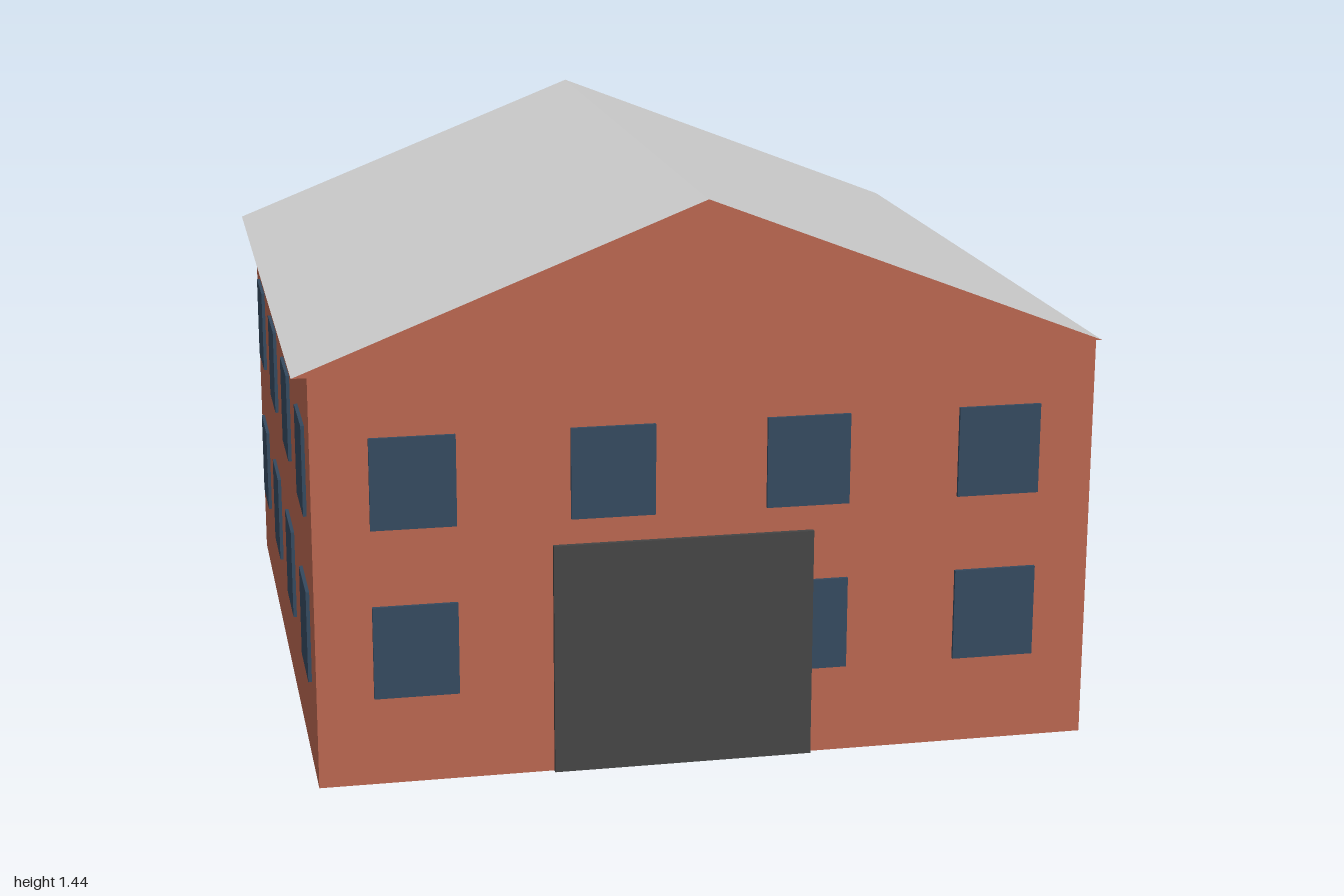
import * as THREE from 'three';

const mat = (name, color) => {
  const m = new THREE.MeshStandardMaterial({ color });
  m.name = name;
  return m;
};

export function createModel() {
  const brick = mat('brick', 0xb8654f);
  const roofGrey = mat('roof grey', 0xcccccc);
  const glass = mat('window blue', 0x34495e);
  const doorGrey = mat('door grey', 0x444444);

  const house = new THREE.Group();
  house.name = 'house';

  // Box given by its low and high corners
  const box = (name, material, [x0, y0, z0], [x1, y1, z1]) => {
    const mesh = new THREE.Mesh(new THREE.BoxGeometry(x1 - x0, y1 - y0, z1 - z0), material);
    mesh.position.set((x0 + x1) / 2, (y0 + y1) / 2, (z0 + z1) / 2);
    mesh.name = name;
    house.add(mesh);
  };

  // Walls, set back from the roof edge at the front and at -x
  const wall = 0.96, eaves = 1.05, ridge = 1.44;
  box('walls', brick, [-wall, 0, -1], [1, eaves, wall]);

  // Gable roof: upward slopes are grey, gable ends and underside are brick
  const gable = new THREE.Shape([
    new THREE.Vector2(-1, eaves),
    new THREE.Vector2(1, eaves),
    new THREE.Vector2(0, ridge),
  ]);
  const roofGeo = new THREE.ExtrudeGeometry(gable, { depth: 2, bevelEnabled: false });
  roofGeo.translate(0, 0, -1);
  roofGeo.clearGroups();
  const normals = roofGeo.attributes.normal;
  for (let i = 0; i < normals.count; i += 3) {
    roofGeo.addGroup(i, 3, normals.getY(i) > 0.1 ? 1 : 0);
  }
  const roof = new THREE.Mesh(roofGeo, [brick, roofGrey]);
  roof.name = 'roof';
  house.add(roof);

  // Two rows of four windows on the front and on the -x side
  const half = 0.105, thick = 0.009;
  for (const [y0, y1] of [[0.225, 0.46], [0.655, 0.885]]) {
    for (const c of [-0.715, -0.225, 0.265, 0.755]) {
      box('frontWindow', glass, [c - half, y0, wall], [c + half, y1, wall + thick]);
      box('sideWindow', glass, [-wall - thick, y0, -c - half], [-wall, y1, -c + half]);
    }
  }

  // Large front door, standing just proud of the windows
  box('door', doorGrey, [-0.375, 0, wall], [0.28, 0.59, wall + 0.013]);

  return house;
}
